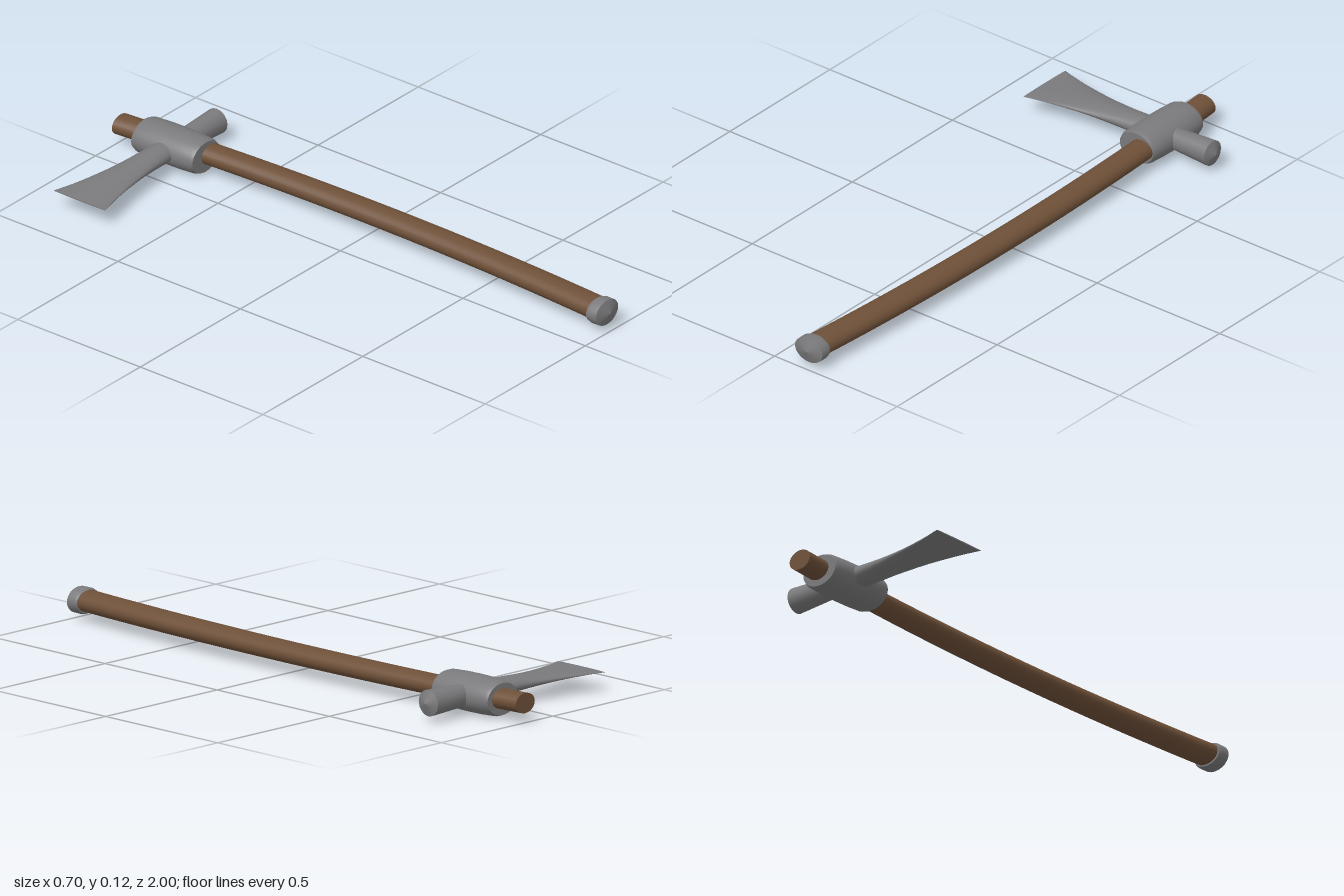
import * as THREE from 'three';

const steel = new THREE.MeshStandardMaterial({ color: 0x7a7a7c });
steel.name = 'steel';
const wood = new THREE.MeshStandardMaterial({ color: 0x6e5038 });
wood.name = 'wood';

const MID_Y = 0.062;
const HEAD_Z = -0.778;

// Lofts elliptical sections [w, cu, cv, ru, rv] along axis w; a repeated section makes a sharp edge.
function loft(name, material, sections, axis, sides = 24) {
  const pos = [], index = [];
  for (const [w, cu, cv, ru, rv] of sections) {
    for (let i = 0; i < sides; i++) {
      const t = (i / sides) * Math.PI * 2;
      const u = cu + ru * Math.cos(t), v = cv + rv * Math.sin(t);
      if (axis === 'z') pos.push(u, v, w);
      else pos.push(w, u, v);
    }
  }
  for (let s = 0; s < sections.length - 1; s++) {
    const same = sections[s].every((n, k) => n === sections[s + 1][k]);
    if (same) continue;
    for (let i = 0; i < sides; i++) {
      const a = s * sides + i, b = s * sides + (i + 1) % sides;
      if (sections[s][3] > 0) index.push(a, b, a + sides);
      if (sections[s + 1][3] > 0) index.push(b, b + sides, a + sides);
    }
  }
  const g = new THREE.BufferGeometry();
  g.setAttribute('position', new THREE.Float32BufferAttribute(pos, 3));
  g.setIndex(index);
  g.computeVertexNormals();
  const mesh = new THREE.Mesh(g, material);
  mesh.name = name;
  return mesh;
}

export function createModel() {
  const model = new THREE.Group();
  model.name = 'axe';

  // Bowed oval handle with a flat end beyond the head
  const bow = z => 0.167 - 0.043 * z * z;
  const handle = [[-1, bow(-1), MID_Y + 0.002, 0, 0]];
  for (let i = 0; i <= 20; i++) {
    const z = -1 + (1.96 * i) / 20;
    const section = [z, bow(z), MID_Y + 0.002, 0.043 + 0.003 * (z + 1), 0.033 + 0.001 * (z + 1)];
    handle.push(section);
    if (i === 0) handle.push(section);
  }
  model.add(loft('handle', wood, handle, 'z'));

  // Pommel cap with a shallow pointed end
  const cap = (z, rx, ry) => [z, 0.127, MID_Y, rx, ry];
  model.add(loft('pommel', steel, [
    cap(0.943, 0, 0), cap(0.943, 0.054, 0.038), cap(0.943, 0.054, 0.038),
    cap(0.955, 0.057, 0.043), cap(0.985, 0.056, 0.043), cap(0.985, 0.056, 0.043),
    cap(1, 0, 0),
  ], 'z'));

  // Barrel-shaped collar around the handle
  const ring = (z, rx, ry) => [HEAD_Z + z, 0.127, 0.061, rx, ry];
  model.add(loft('collar', steel, [
    ring(-0.125, 0, 0), ring(-0.125, 0.068, 0.052), ring(-0.125, 0.068, 0.052),
    ring(-0.112, 0.073, 0.057), ring(-0.06, 0.076, 0.06), ring(0, 0.077, 0.061),
    ring(0.06, 0.076, 0.06), ring(0.112, 0.073, 0.057),
    ring(0.125, 0.068, 0.052), ring(0.125, 0.068, 0.052), ring(0.125, 0, 0),
  ], 'z', 32));

  // Flared blade thinning to its cutting edge
  const blade = [[-0.352, MID_Y, HEAD_Z, 0, 0]];
  for (let i = 0; i <= 10; i++) {
    const t = i / 10;
    const section = [-0.352 + 0.452 * t, MID_Y, HEAD_Z,
      0.002 + 0.033 * t, 0.044 + 0.061 * Math.pow(1 - t, 2)];
    blade.push(section);
    if (i === 0) blade.push(section);
  }
  model.add(loft('blade', steel, blade, 'x'));

  // Round hammer poll with a conical face
  const poll = (x, r) => [x, MID_Y, HEAD_Z, r, r];
  model.add(loft('hammerPoll', steel, [
    poll(0.14, 0.034), poll(0.335, 0.043), poll(0.335, 0.043), poll(0.352, 0),
  ], 'x', 16));

  return model;
}
